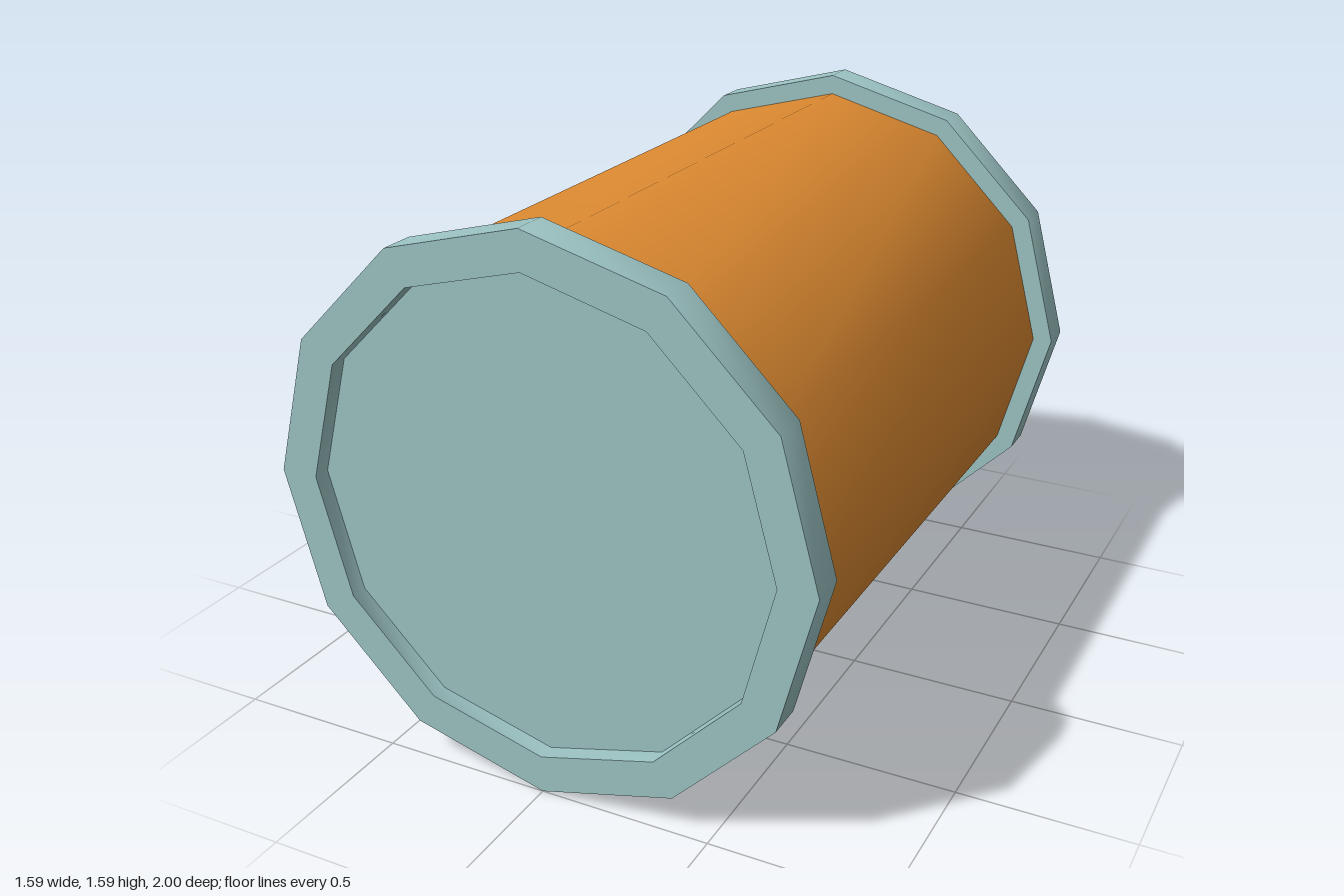
import * as THREE from 'three';
import { toCreasedNormals } from 'three/addons/utils/BufferGeometryUtils.js';

const SIDES = 12;
const CENTRE_Y = 0.795;

// Profile [radius, distance along the axis] turned about the z axis; smooth round, sharp at rims
function turned(profile) {
  const points = profile.map(([r, z]) => new THREE.Vector2(r, z));
  const geometry = new THREE.LatheGeometry(points, SIDES).rotateX(Math.PI / 2);
  return toCreasedNormals(geometry, 0.7);
}

export function createModel() {
  const model = new THREE.Group();
  model.name = 'can';
  const orange = new THREE.MeshStandardMaterial({ color: 0xdd8a31 });
  orange.name = 'orange';
  const paleTeal = new THREE.MeshStandardMaterial({ color: 0x9cc3c3 });
  paleTeal.name = 'paleTeal';

  // Barrel between the two lids
  const body = new THREE.Mesh(turned([[0.735, -0.9], [0.735, 0.9]]), orange);
  body.name = 'body';
  body.position.y = CENTRE_Y;
  model.add(body);

  // Lid with a raised rim and a recessed panel, repeated at both ends
  const lidGeometry = turned([
    [0.7, 0.895], [0.795, 0.895], [0.795, 1], [0.685, 1], [0.685, 0.95], [0, 0.95],
  ]);
  ['frontLid', 'backLid'].forEach((name, i) => {
    const lid = new THREE.Mesh(lidGeometry, paleTeal);
    lid.name = name;
    lid.position.y = CENTRE_Y;
    lid.rotation.y = i * Math.PI;
    model.add(lid);
  });
  return model;
}
